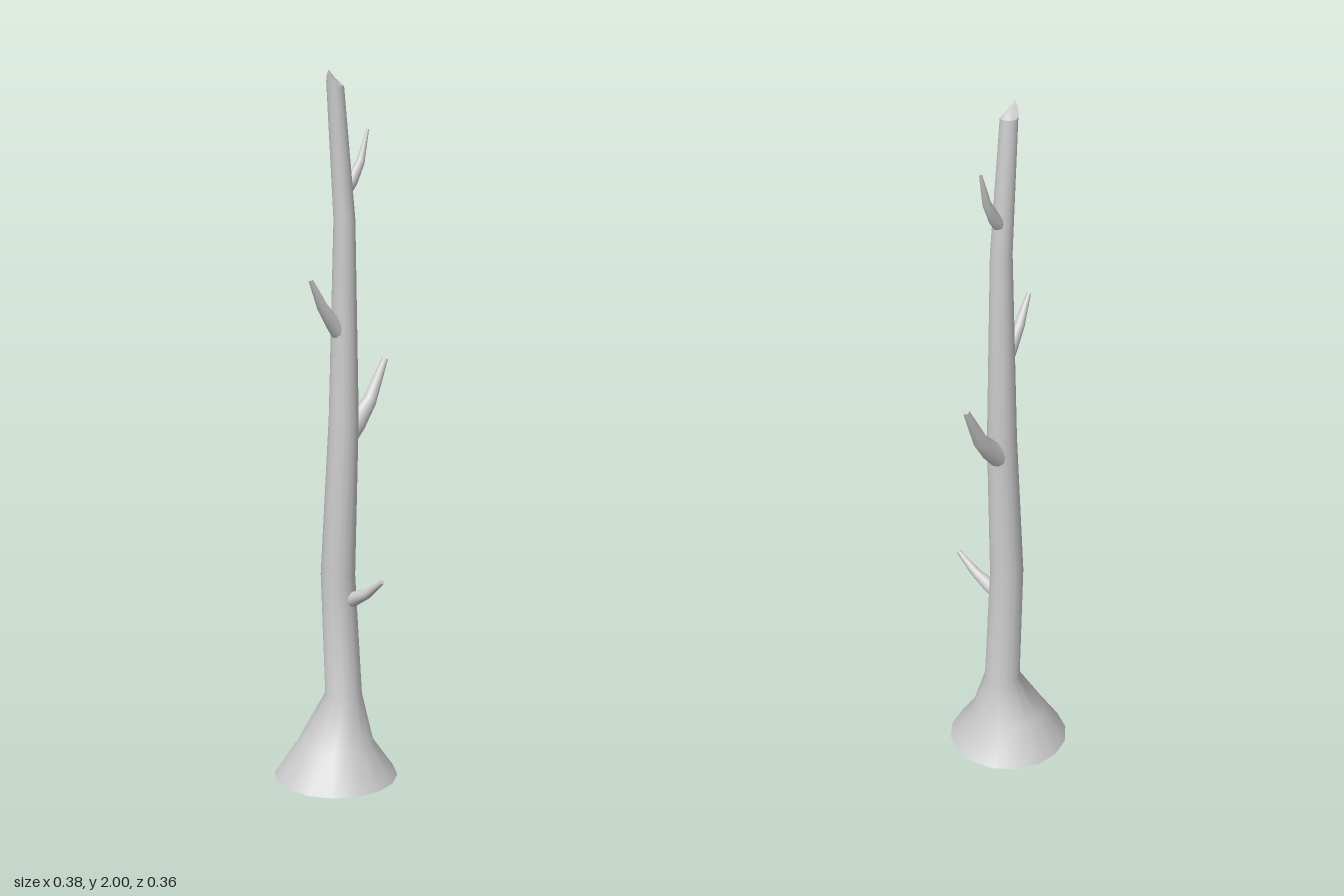
import * as THREE from 'three';

const material = new THREE.MeshStandardMaterial({ color: 0xcccccc, side: THREE.DoubleSide });

// Smooth tapered limb whose spine lies in the xy plane.
// rings: [x, y, radius, direction of the spine in degrees]; shapeEnd may move the last ring.
function limb(name, rings, sides, shapeEnd) {
  const pos = [], index = [];
  rings.forEach(([x, y, r, deg], i) => {
    const d = THREE.MathUtils.degToRad(deg);
    for (let s = 0; s < sides; s++) {
      const a = (s / sides) * Math.PI * 2, c = Math.cos(a) * r;
      const p = new THREE.Vector3(x + c * Math.sin(d), y - c * Math.cos(d), Math.sin(a) * r);
      if (shapeEnd && i === rings.length - 1) shapeEnd(p, a);
      pos.push(p.x, p.y, p.z);
    }
  });
  for (let i = 0; i < rings.length - 1; i++) {
    for (let s = 0; s < sides; s++) {
      const a = i * sides + s, b = i * sides + ((s + 1) % sides);
      index.push(a, a + sides, b, b, a + sides, b + sides);
    }
  }
  // End cap on its own copy of the rim, so that its edge stays sharp
  const rim = pos.slice(-sides * 3), start = pos.length / 3;
  pos.push(...rim);
  const mid = [0, 0, 0];
  rim.forEach((v, k) => { mid[k % 3] += v / sides; });
  if (shapeEnd) mid[1] = (rim[1] + rim[(sides / 2) * 3 + 1]) / 2;
  pos.push(...mid);
  for (let s = 0; s < sides; s++) index.push(start + sides, start + ((s + 1) % sides), start + s);

  const geometry = new THREE.BufferGeometry();
  geometry.setAttribute('position', new THREE.Float32BufferAttribute(pos, 3));
  geometry.setIndex(index);
  geometry.computeVertexNormals();
  const mesh = new THREE.Mesh(geometry, material);
  mesh.name = name;
  return mesh;
}

export function createModel() {
  const group = new THREE.Group();
  group.name = 'bareTree';

  // Crooked trunk with a flared, open foot and a slanted broken top
  group.add(limb('trunk', [
    [-0.012, 0, 0.179, 90],
    [-0.014, 0.1, 0.111, 90],
    [0.018, 0.24, 0.053, 90],
    [-0.004, 0.6, 0.049, 90],
    [0.018, 1.05, 0.042, 90],
    [0.02, 1.6, 0.03, 90],
    [-0.014, 1.957, 0.024, 90],
  ], 16, (p, a) => {
    if (Math.cos(a) < 0) p.y += 0.043 * (1 - Math.abs(Math.sin(a)));
  }));

  // Branch stubs, each bending upwards
  group.add(limb('largeBranch', [
    [0.03, 0.998, 0.033, 42],
    [0.065, 1.03, 0.03, 45],
    [0.117, 1.086, 0.021, 53],
    [0.177, 1.2, 0.009, 62],
  ], 12));
  group.add(limb('leftBranch', [
    [0, 1.292, 0.023, 130],
    [-0.02, 1.315, 0.021, 130],
    [-0.062, 1.368, 0.015, 125],
    [-0.104, 1.444, 0.006, 119],
  ], 12));
  group.add(limb('upperBranch', [
    [0.03, 1.685, 0.018, 52],
    [0.048, 1.705, 0.017, 52],
    [0.08, 1.755, 0.012, 60],
    [0.106, 1.842, 0.004, 72],
  ], 12));
  const front = limb('frontBranch', [
    [0.025, 0.525, 0.023, 22],
    [0.05, 0.535, 0.021, 25],
    [0.105, 0.562, 0.014, 32],
    [0.166, 0.61, 0.007, 39],
  ], 12);
  front.rotation.y = -Math.PI / 2;
  front.position.x = 0.011;
  group.add(front);

  return group;
}
